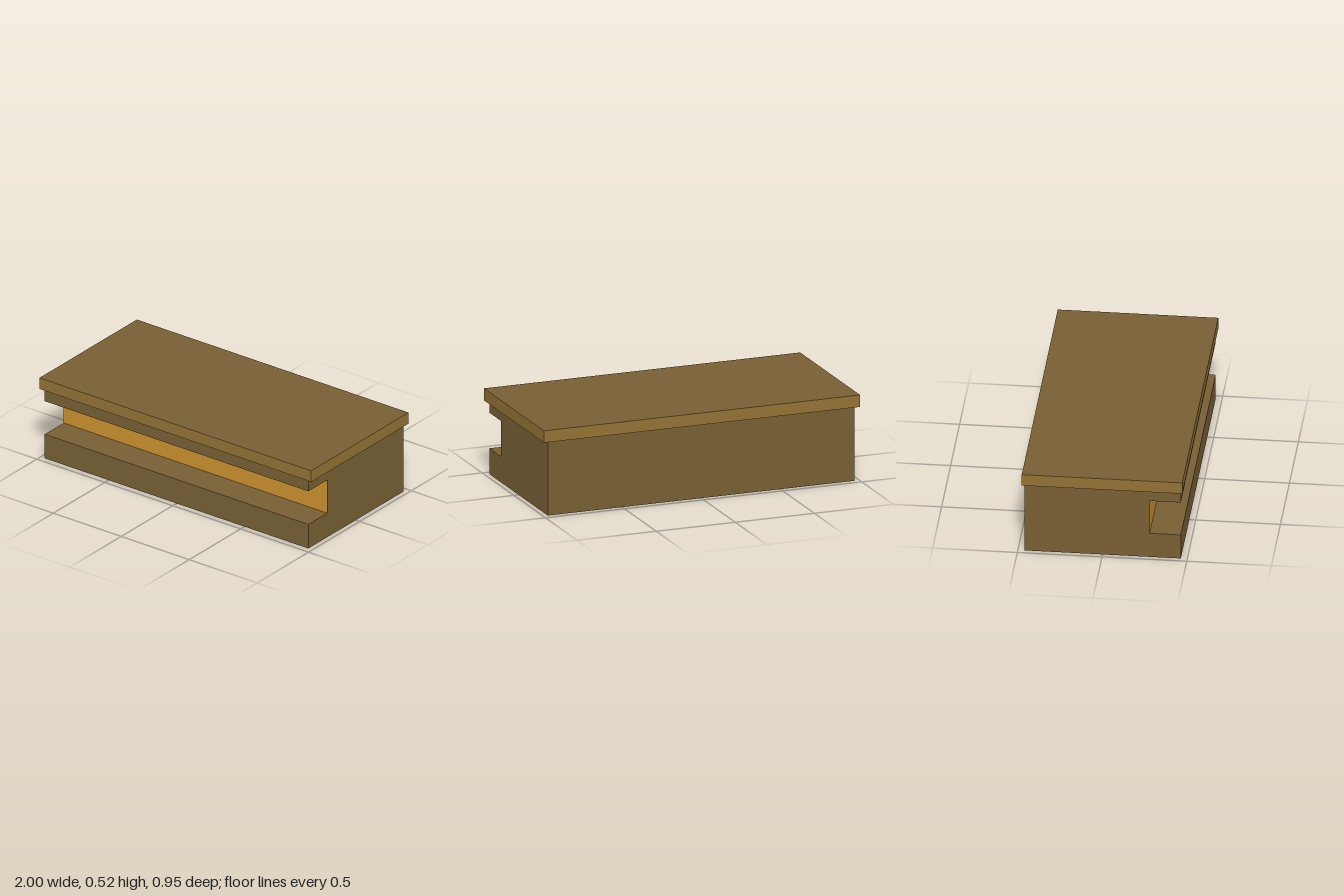
import * as THREE from 'three';

export function createModel() {
  const group = new THREE.Group();
  const mat = (name, color) => {
    const m = new THREE.MeshStandardMaterial({ color });
    m.name = name;
    return m;
  };
  const darkWood = mat('darkWood', 0x775f34);
  const trimWood = mat('trimWood', 0x927235);
  const amber = mat('amberPanel', 0xc9912e);

  const add = (name, geometry, material) => {
    const mesh = new THREE.Mesh(geometry, material);
    mesh.name = name;
    group.add(mesh);
    return mesh;
  };

  const width = 1.94, halfDepth = 0.462, bodyTop = 0.452;
  const grooveZ = 0.277, grooveLow = 0.158, grooveHigh = 0.376;

  // Body: side profile (z, y) with a front groove, swept across the width
  const profile = new THREE.Shape([
    [-halfDepth, 0], [halfDepth, 0], [halfDepth, grooveLow], [grooveZ, grooveLow],
    [grooveZ, grooveHigh], [halfDepth, grooveHigh], [halfDepth, bodyTop], [-halfDepth, bodyTop],
  ].map(([z, y]) => new THREE.Vector2(z, y)));
  const body = new THREE.ExtrudeGeometry(profile, { depth: width, bevelEnabled: false });
  body.translate(0, 0, -width / 2).rotateY(-Math.PI / 2);
  add('body', body, darkWood);

  // Coloured face at the back of the groove
  add('groovePanel', new THREE.PlaneGeometry(width, grooveHigh - grooveLow), amber)
    .position.set(0, (grooveLow + grooveHigh) / 2, grooveZ + 0.001);

  // Lid: dark top and underside, lighter edge all round
  const lidHeight = 0.073;
  add('lid', new THREE.BoxGeometry(2, lidHeight, 0.948),
    [trimWood, trimWood, darkWood, darkWood, trimWood, trimWood])
    .position.y = bodyTop + lidHeight / 2;

  return group;
}
